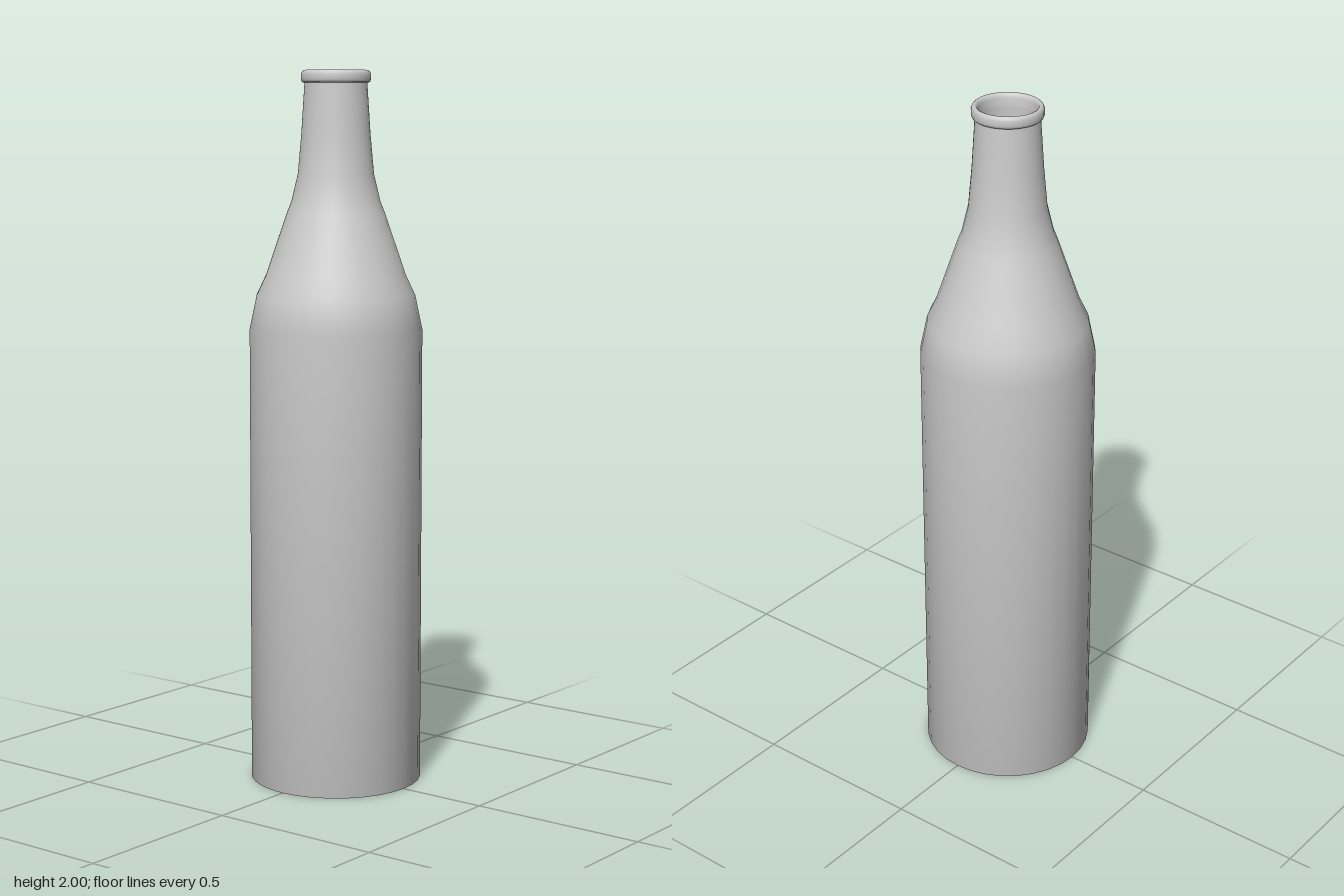
import * as THREE from 'three';

const SEGMENTS = 32;

function lathe(name, profile, material) {
  const points = profile.map(([r, y]) => new THREE.Vector2(r, y));
  const mesh = new THREE.Mesh(new THREE.LatheGeometry(points, SEGMENTS), material);
  mesh.name = name;
  return mesh;
}

export function createModel() {
  const group = new THREE.Group();
  group.name = 'bottle';
  const glass = new THREE.MeshStandardMaterial({ color: 0xcccccc, side: THREE.DoubleSide });

  // Straight body, sloping shoulder and tapering neck
  const wall = [
    [0.242, 0], [0.242, 1.285], [0.222, 1.38], [0.196, 1.435],
    [0.136, 1.61], [0.124, 1.64], [0.106, 1.715], [0.096, 1.825], [0.087, 1.965],
  ];
  group.add(lathe('outerWall', [[0, 0], ...wall], glass));

  // Rounded collar around the mouth
  group.add(lathe('lip', [
    [0.087, 1.965], [0.094, 1.967], [0.097, 1.974], [0.097, 1.988],
    [0.094, 1.996], [0.089, 2], [0.083, 1.997], [0.079, 1.988], [0.078, 1.965],
  ], glass));

  // Hollow inside, one wall thickness in from the outside
  const thickness = 0.014;
  const inner = wall.slice(1, -1).map(([r, y]) => [r - thickness, y]).reverse();
  group.add(lathe('innerWall', [
    [0.078, 1.965], ...inner, [0.242 - thickness, thickness], [0, thickness],
  ], glass));

  return group;
}
